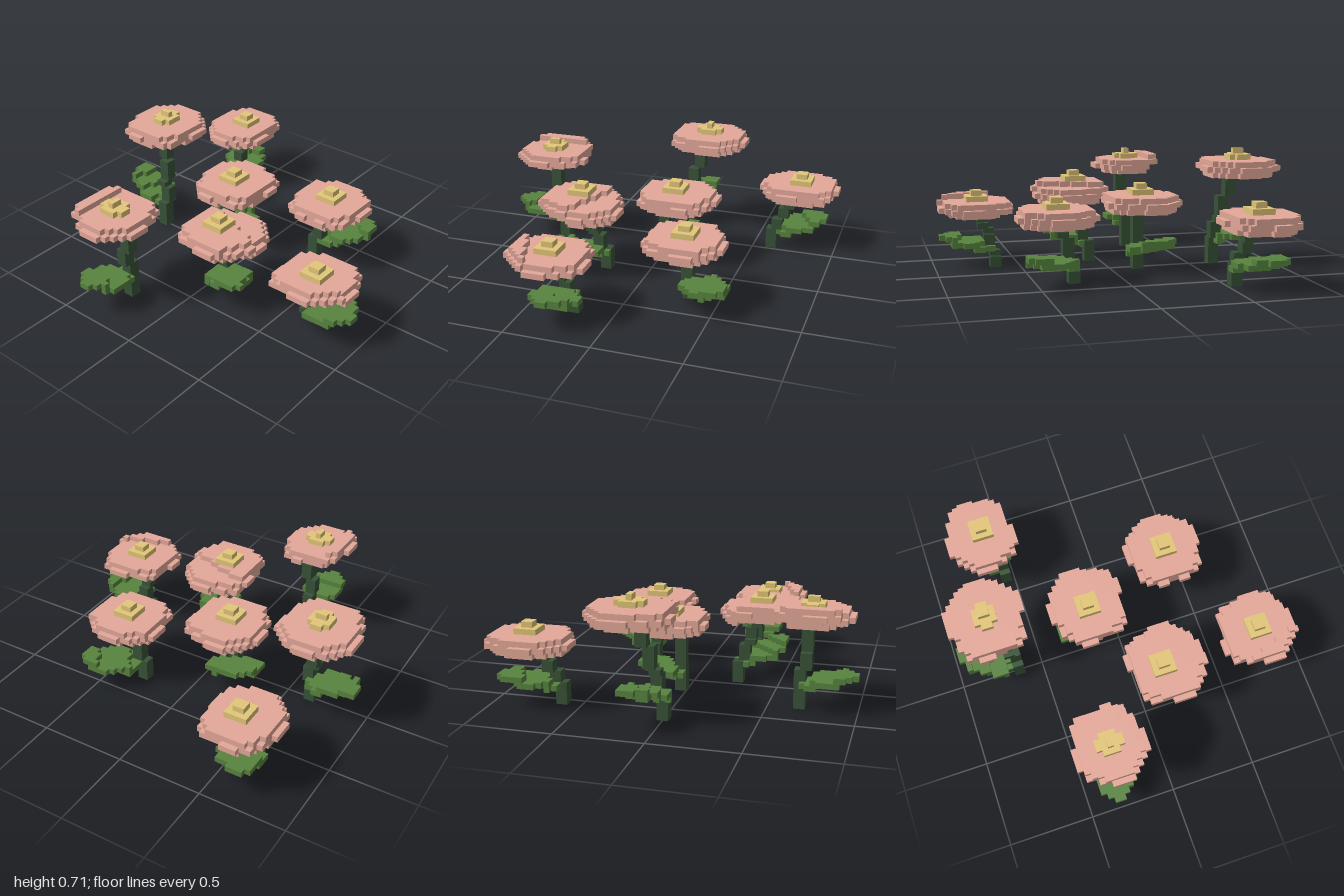
import * as THREE from 'three';

const UNIT = 2 / 62; // edge of one cube

const material = (name, color) => {
  const m = new THREE.MeshStandardMaterial({ color });
  m.name = name;
  return m;
};

// Set of filled grid cells
class Cells {
  constructor() { this.map = new Map(); }
  add(x, y, z) { this.map.set(`${x},${y},${z}`, [x, y, z]); }
  has(x, y, z) { return this.map.has(`${x},${y},${z}`); }
  // Remove cells already taken by another part
  without(other) {
    for (const key of other.map.keys()) this.map.delete(key);
    return this;
  }
}

// Skin a set of cells with only its exposed square faces
function cellMesh(name, cells, mat) {
  const pos = [], nor = [], index = [];
  for (const c of cells.map.values()) {
    for (let axis = 0; axis < 3; axis++) {
      for (const s of [-1, 1]) {
        const n = [0, 0, 0];
        n[axis] = s;
        if (cells.has(c[0] + n[0], c[1] + n[1], c[2] + n[2])) continue;
        const u = (axis + 1) % 3, v = (axis + 2) % 3, first = pos.length / 3;
        for (const [a, b] of [[0, 0], [1, 0], [1, 1], [0, 1]]) {
          const p = [...c];
          p[axis] += s > 0 ? 1 : 0;
          p[u] += a;
          p[v] += b;
          pos.push(p[0] * UNIT, p[1] * UNIT, p[2] * UNIT);
          nor.push(...n);
        }
        const order = s > 0 ? [0, 1, 2, 0, 2, 3] : [0, 2, 1, 0, 3, 2];
        index.push(...order.map((i) => first + i));
      }
    }
  }
  const g = new THREE.BufferGeometry();
  g.setAttribute('position', new THREE.Float32BufferAttribute(pos, 3));
  g.setAttribute('normal', new THREE.Float32BufferAttribute(nor, 3));
  g.setIndex(index);
  const mesh = new THREE.Mesh(g, mat);
  mesh.name = name;
  return mesh;
}

// Visit the cells around a centre, with their offsets from it
function around(cx, cz, visit) {
  for (let x = Math.floor(cx - 9); x <= cx + 9; x++) {
    for (let z = Math.floor(cz - 9); z <= cz + 9; z++) visit(x, z, x + 0.5 - cx, z + 0.5 - cz);
  }
}

// Fill one round layer
function disc(cells, cx, cz, y, radius) {
  around(cx, cz, (x, z, dx, dz) => {
    if (Math.hypot(dx, dz) <= radius) cells.add(x, y, z);
  });
}

// Three full, lobed layers: a hollow ring below, the widest in the middle
function petalCells({ at: [cx, cz], size, y, under = [0.4, 0.87], tilt = [0, 0, 0], turn }) {
  const cells = new Cells();
  [under, [0, 1], [0, 0.92]].forEach(([inner, outer], k) => {
    around(cx, cz, (x, z, dx, dz) => {
      const u = dx / (size[0] - 0.25), v = dz / (size[1] - 0.25);
      const r = Math.pow(Math.abs(u) ** 2.3 + Math.abs(v) ** 2.3, 1 / 2.3);
      const lobe = 1 + 0.045 * Math.cos(5 * Math.atan2(v, u) + turn);
      if (r < inner || r > outer * lobe) return;
      const lift = Math.round(tilt[0] * dx + tilt[1] * dz + tilt[2]);
      cells.add(x, y + k + THREE.MathUtils.clamp(lift, 0, 1), z);
    });
  });
  return cells;
}

// Stepped pollen mound
function centreCells({ pollen: [x, z], top }) {
  const cells = new Cells();
  disc(cells, x, z, top - 3, 2.2);
  disc(cells, x, z, top - 2, 2.2);
  disc(cells, x, z, top - 1, 1.1);
  return cells;
}

// Leaning stalk, straight at its foot
function stemCells({ base, tip, y }) {
  const cells = new Cells();
  for (let k = 0; k <= y + 1; k++) {
    const t = Math.min(1, Math.pow(k / y, 1.5));
    const x = Math.round(base[0] + (tip[0] - base[0]) * t);
    const z = Math.round(base[1] + (tip[1] - base[1]) * t);
    disc(cells, x, z, k, 0.9);
  }
  return cells;
}

// Rising oval blade
function leafCells({ base, leaf: [ex, ez, y0, y1, half] }) {
  const cells = new Cells();
  const lx = ex - base[0], lz = ez - base[1], len = Math.hypot(lx, lz);
  for (let x = -31; x < 31; x++) {
    for (let z = -31; z < 31; z++) {
      const dx = x + 0.5 - base[0], dz = z + 0.5 - base[1];
      const t = (dx * lx + dz * lz) / (len * len);
      const s = Math.abs(dx * lz - dz * lx) / len;
      if (t < 0 || t > 1) continue;
      if (s > 0.6 + (half - 0.6) * Math.pow(Math.sin(Math.PI * t), 0.75)) continue;
      const rise = y0 + (y1 - y0) * t;
      cells.add(x, Math.round(rise), z);
      // Overlap where one step meets the next
      if (rise - Math.floor(rise) > 0.5 && rise - Math.floor(rise) < 0.75) cells.add(x, Math.floor(rise), z);
    }
  }
  return cells;
}

// Grid units: bloom centre and half size, underside height, pollen centre and top,
// stem foot and tip, leaf [end x, end z, start height, end height, half width]
const FLOWERS = [
  { at: [4.5, -23], size: [7.5, 7], y: 17, pollen: [4.5, -23], top: 22, turn: 0.4,
    base: [0, -19.6], tip: [4, -22.5], leaf: [3.8, -30, 4, 7.4, 3.4] },
  { at: [23.5, -19.5], size: [7.5, 6.5], y: 10, pollen: [24, -19], top: 15, turn: 2.2,
    base: [18.7, -16.8], tip: [23, -18.5], leaf: [29, -21.5, 3, 5.4, 3.7] },
  { at: [-23, -9.5], size: [7, 6.5], y: 15, pollen: [-23, -9.5], top: 20, turn: 3.6,
    under: [0.2, 0.66], tilt: [0, -0.14, 0],
    base: [-21, -9], tip: [-22.6, -8], leaf: [-31, -10.2, 4, 6.4, 3.6] },
  { at: [3.5, -5], size: [7.5, 7], y: 11, pollen: [3, -5], top: 16, turn: 1,
    base: [0.7, -5], tip: [1, -5], leaf: [7.8, -8.4, 3, 5.3, 4.8] },
  { at: [-11.5, 5], size: [7.5, 7], y: 11, pollen: [-12, 4], top: 17, turn: 5,
    tilt: [-0.16, -0.06, 0.8],
    base: [-8, 2], tip: [-11, 4.5], leaf: [-15.9, 10, 3, 6.4, 3.6] },
  { at: [10, 12], size: [7, 7], y: 10, pollen: [10, 12], top: 15, turn: 0,
    base: [10, 9], tip: [9.4, 11.4], leaf: [17.5, 17.5, 3, 5, 3.7] },
  { at: [-10, 23], size: [7, 7], y: 9, pollen: [-10, 23], top: 14, turn: 4.2,
    under: [0.2, 0.66], tilt: [-0.12, 0.04, 0],
    base: [-7.4, 20], tip: [-10, 22.6], leaf: [-9.4, 29.8, 3, 5.3, 4.1] },
];

export function createModel() {
  const pink = material('petal pink', 0xe4a899);
  const yellow = material('pollen yellow', 0xe2c678);
  const green = material('leaf green', 0x57833f);
  const dark = material('stem green', 0x385237);

  const model = new THREE.Group();
  model.name = 'flowerPatch';
  for (const f of FLOWERS) {
    const flower = new THREE.Group();
    flower.name = 'flower';
    const petals = petalCells(f);
    const stem = stemCells(f).without(petals);
    flower.add(
      cellMesh('petals', petals, pink),
      cellMesh('flowerCentre', centreCells(f).without(petals), yellow),
      cellMesh('stem', stem, dark),
      cellMesh('leaf', leafCells(f).without(stem), green),
    );
    model.add(flower);
  }
  return model;
}
